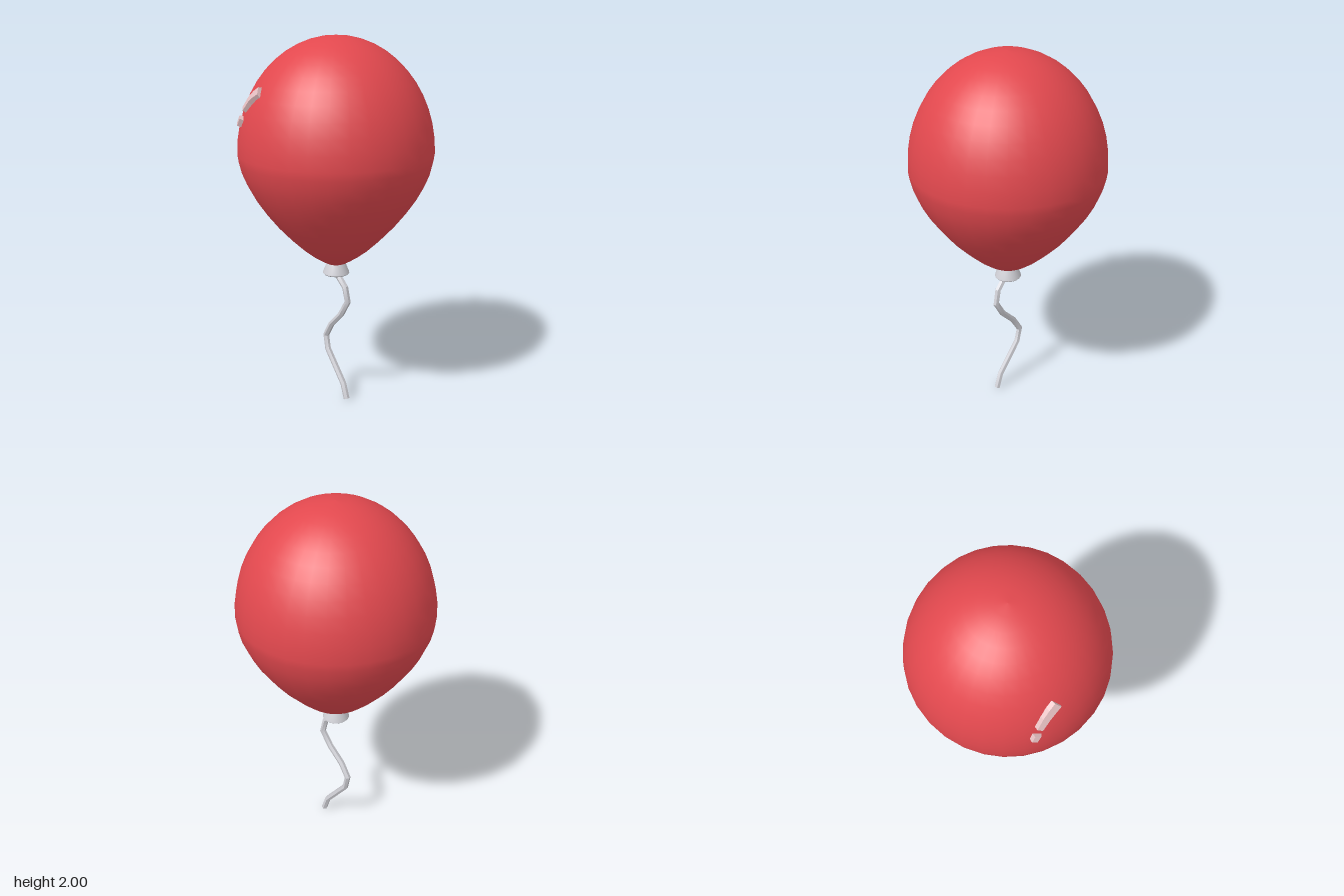
import * as THREE from 'three';
import { toCreasedNormals } from 'three/addons/utils/BufferGeometryUtils.js';

const MID = 1.4, RADIUS = 0.515, TOP = 0.6;

const v2 = (x, y) => new THREE.Vector2(x, y);

// Balloon outline: a spline from the neck to the widest ring, then a half ellipse
function balloonProfile() {
  const lower = new THREE.SplineCurve([
    v2(0.045, 0.785), v2(0.09, 0.81), v2(0.18, 0.875), v2(0.315, 1.01),
    v2(0.43, 1.165), v2(0.495, 1.3), v2(RADIUS, MID),
  ]).getPoints(12);
  for (let i = 1; i <= 12; i++) {
    const a = (i / 12) * Math.PI / 2;
    lower.push(v2(i === 12 ? 0 : RADIUS * Math.cos(a), MID + TOP * Math.sin(a)));
  }
  return lower;
}

// Point and normal on the front upper half of the balloon
function onBalloon(x, y) {
  const r2 = RADIUS * RADIUS * (1 - ((y - MID) / TOP) ** 2);
  const p = new THREE.Vector3(x, y, Math.sqrt(r2 - x * x));
  const n = new THREE.Vector3(p.x / RADIUS ** 2, (y - MID) / TOP ** 2, p.z / RADIUS ** 2).normalize();
  return { p, n };
}

// Raised bar with bevelled sides that follows the balloon; rows are [x, y, half width]
function glintGeometry(rows) {
  const at = rows.map(([x, y]) => onBalloon(x, y));
  const pos = [], idx = [];
  rows.forEach(([, , w], i) => {
    const { p, n } = at[i];
    const along = at[Math.min(i + 1, at.length - 1)].p.clone().sub(at[Math.max(i - 1, 0)].p);
    const side = n.clone().cross(along).normalize();
    for (const [s, h] of [[-1, -0.012], [-0.6, 0.018], [0.6, 0.018], [1, -0.012]]) {
      pos.push(...p.clone().addScaledVector(side, s * w).addScaledVector(n, h).toArray());
    }
  });
  for (let i = 0; i < rows.length - 1; i++) {
    for (let k = 0; k < 4; k++) {
      const a = i * 4 + k, b = i * 4 + (k + 1) % 4;
      idx.push(a, a + 4, b, b, a + 4, b + 4);
    }
  }
  const e = (rows.length - 1) * 4;
  idx.push(0, 1, 2, 0, 2, 3, e, e + 2, e + 1, e, e + 3, e + 2);
  const g = new THREE.BufferGeometry();
  g.setAttribute('position', new THREE.Float32BufferAttribute(pos, 3));
  g.setIndex(idx);
  return toCreasedNormals(g, 0.1);
}

// Polyline whose rings fall exactly on the given points
class Polyline extends THREE.Curve {
  constructor(points) {
    super();
    this.points = points;
  }
  getPoint(t, target = new THREE.Vector3()) {
    const f = t * (this.points.length - 1);
    const i = Math.min(Math.floor(f + 1e-6), this.points.length - 2);
    return target.lerpVectors(this.points[i], this.points[i + 1], f - i);
  }
  getPointAt(t, target) {
    return this.getPoint(t, target);
  }
  getTangentAt(t, target = new THREE.Vector3()) {
    const d = 0.5 / (this.points.length - 1);
    return target.copy(this.getPoint(Math.min(t + d, 1))).sub(this.getPoint(Math.max(t - d, 0))).normalize();
  }
}

export function createModel() {
  const red = new THREE.MeshStandardMaterial({ color: 0xe2484e });
  red.name = 'balloon red';
  const grey = new THREE.MeshStandardMaterial({ color: 0xd2d2d8 });
  grey.name = 'light grey';
  const pink = new THREE.MeshStandardMaterial({ color: 0xeac4c6 });
  pink.name = 'pale pink';

  const model = new THREE.Group();
  const add = (name, geometry, material) => {
    const mesh = new THREE.Mesh(geometry, material);
    mesh.name = name;
    model.add(mesh);
    return mesh;
  };

  add('balloon', new THREE.LatheGeometry(balloonProfile(), 32, 0.02), red);

  // Flared knot under the neck
  const knot = [v2(0, 0.725), v2(0.066, 0.725), v2(0.072, 0.731), v2(0.07, 0.74), v2(0.046, 0.8), v2(0, 0.8)];
  add('knot', toCreasedNormals(new THREE.LatheGeometry(knot, 20), 0.6), grey);

  // Wavy string with a capped lower end
  const path = [
    [0.0, 0.745, 0.01], [0.03, 0.71, 0.01], [0.074, 0.665, 0.015], [0.092, 0.585, 0.015],
    [0.042, 0.5, 0.008], [-0.04, 0.415, -0.008], [-0.087, 0.335, -0.02],
    [-0.07, 0.255, -0.015], [0.06, 0.087, 0.01], [0.087, 0.005, 0.015],
  ].map((p) => new THREE.Vector3(...p));
  const curve = new Polyline(path);
  const tube = new THREE.TubeGeometry(curve, path.length - 1, 0.017, 6);
  add('string', toCreasedNormals(tube, 0.5), grey);
  const cap = add('stringEnd', new THREE.CircleGeometry(0.017, 6), grey);
  cap.position.copy(path[path.length - 1]);
  cap.quaternion.setFromUnitVectors(new THREE.Vector3(0, 0, 1), curve.getTangentAt(1));

  // Light reflections on the upper front
  add('longGlint', glintGeometry([
    [-0.16, 1.738, 0.036], [-0.195, 1.718, 0.034], [-0.23, 1.69, 0.031], [-0.272, 1.64, 0.025],
  ]), pink);
  add('shortGlint', glintGeometry([[-0.29, 1.598, 0.025], [-0.31, 1.56, 0.023]]), pink);

  return model;
}
